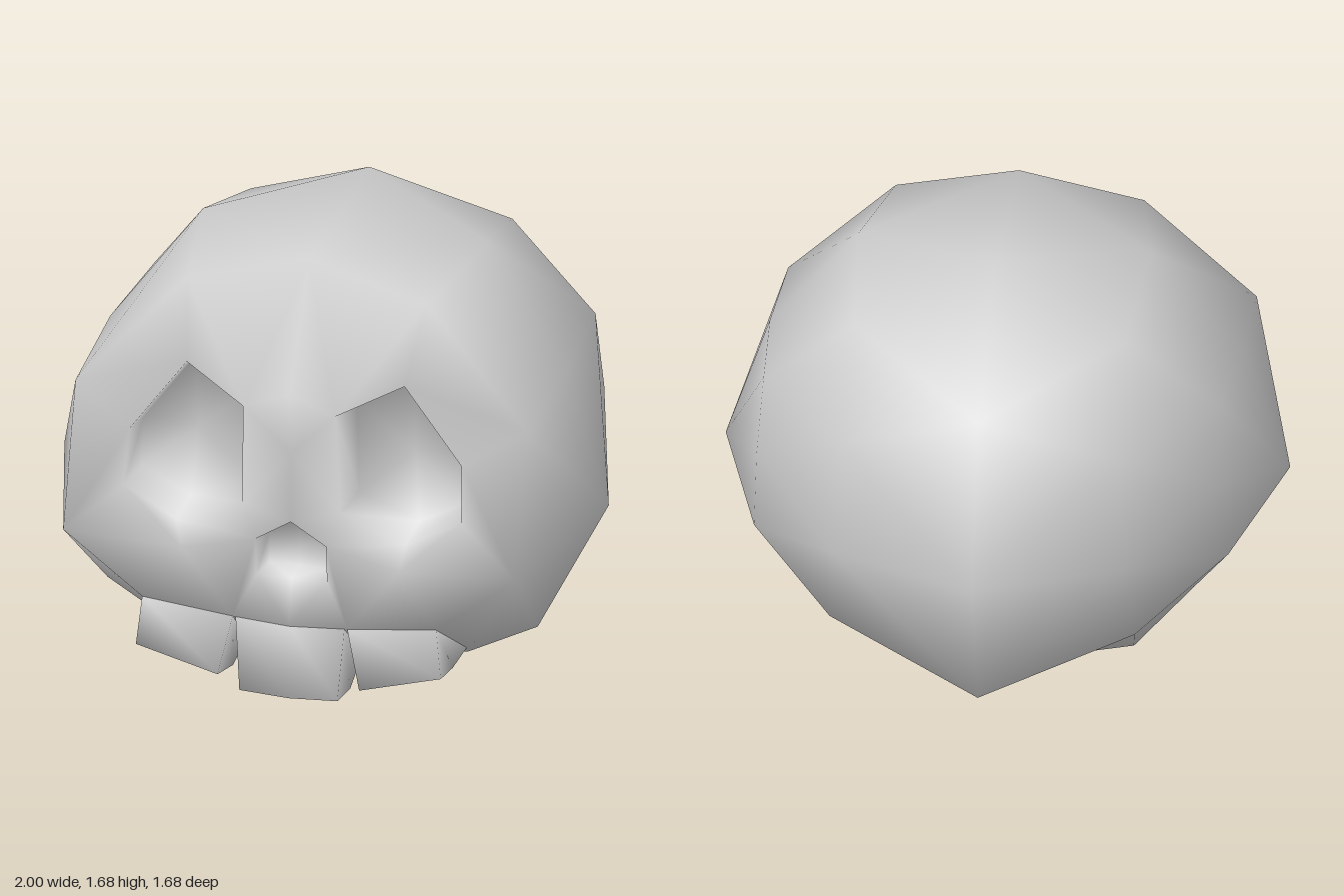
import * as THREE from 'three';
import { mergeVertices } from 'three/addons/utils/BufferGeometryUtils.js';

const vec = (p) => new THREE.Vector3(...p);
const normal = (a, b, c) => vec(b).sub(vec(a)).cross(vec(c).sub(vec(a)));

// Collects triangles between rows of points, optionally mirrored over x = 0
class Surface {
  constructor() { this.data = []; }
  tri(a, b, c, mirror) {
    if (normal(a, b, c).length() < 1e-6) return;
    this.data.push(...a, ...b, ...c);
    if (mirror) for (const p of [a, c, b]) this.data.push(-p[0], p[1], p[2]);
  }
  // With convex set, each quad is split along the diagonal that bulges outward
  strip(a, b, { mirror = true, convex = false } = {}) {
    for (let i = 0; i < a.length - 1; i++) {
      const [p, q, r, s] = [a[i], a[i + 1], b[i + 1], b[i]];
      if (convex && normal(p, q, r).dot(vec(s).sub(vec(p))) > 0) {
        this.tri(p, q, s, mirror);
        this.tri(q, r, s, mirror);
      } else {
        this.tri(p, q, r, mirror);
        this.tri(p, r, s, mirror);
      }
    }
  }
  mesh(name, material) {
    let g = new THREE.BufferGeometry();
    g.setAttribute('position', new THREE.Float32BufferAttribute(this.data, 3));
    g = mergeVertices(g, 1e-3);
    g.computeVertexNormals();
    const m = new THREE.Mesh(g, material);
    m.name = name;
    return m;
  }
}

const repeat = (p, n) => Array.from({ length: n }, () => p);

// Shrinks a rim towards a centre and sets it at a given depth
const recess = (rim, [cx, cy], k, z) => rim.map(([x, y]) => [cx + (x - cx) * k, cy + (y - cy) * k, z]);

// Where the teeth meet the upper jaw
const rootMid = [0, 0.32, 0.83], rootInner = [0.21, 0.33, 0.82], rootOuter = [0.54, 0.37, 0.83];

function buildSkull(material) {
  const s = new Surface();

  // Cranium: arcs from the forehead over the back to the underside
  const mid = [
    [0, 1.62, 0.58], [0, 1.68, -0.15], [0, 1.32, -0.65], [0, 0.74, -0.84],
    [0, 0.19, -0.65], [0, 0.06, -0.2], [0, 0.12, 0.28], [0, 0.1, 0.55],
  ];
  const half = [
    [0.44, 1.51, 0.61], [0.52, 1.58, 0.15], [0.48, 1.48, -0.3], [0.5, 1.14, -0.55],
    [0.52, 0.75, -0.65], [0.54, 0.41, -0.52], [0.5, 0.17, -0.2], [0.56, 0.16, 0.5],
  ];
  const brow = [0.83, 1.1, 0.68], cheek = [0.83, 0.59, 0.83], jaw = [0.79, 0.25, 0.42];
  const side = [
    brow, [0.84, 1.16, 0.22], [0.81, 1.19, -0.22], [0.83, 0.9, -0.26],
    [0.84, 0.6, -0.25], [0.74, 0.45, -0.18], [0.7, 0.32, 0.05], jaw,
  ];
  s.strip(half, mid, { convex: true });
  s.strip(side, half, { convex: true });
  s.strip(repeat([1, 0.67, 0.25], 10), [...side, cheek, brow]);

  // Face around the eye
  const noseTop = [0, 0.71, 0.81], noseSide = [0.13, 0.63, 0.81], noseLow = [0.13, 0.49, 0.8];
  const noseMid = [0, 0.49, 0.8], underEye = [0.4, 0.57, 0.82], glabella = [0, 1.2, 0.83];
  const eye = [
    [0.17, 1.14, 0.83], [0.4, 1.25, 0.75], [0.61, 0.97, 0.75],
    [0.62, 0.77, 0.79], [0.42, 0.67, 0.81], [0.18, 0.76, 0.8],
  ];
  const [e0, e1, e2, e3, e4, e5] = eye;
  s.strip(
    [e0, e0, e1, e2, e3, e4, e5, e5, e0, e0],
    [glabella, mid[0], half[0], brow, cheek, underEye, noseSide, noseTop, [0, 0.97, 0.81], glabella],
  );

  // Eye socket
  const socket = [...eye, e0];
  const floor = recess(socket, [0.4, 0.95], 0.92, 0.63);
  s.strip(floor, socket);
  s.strip(repeat([0.4, 0.95, 0.61], 7), floor);

  // Nose cavity
  const nose = [noseTop, noseSide, noseLow, noseMid];
  const noseFloor = recess(nose, [0, 0.57], 0.85, 0.7);
  s.strip(noseFloor, nose);
  s.strip(repeat([0, 0.57, 0.69], 4), noseFloor);

  // Upper jaw down to the tooth roots, then the underside
  s.strip(
    [rootMid, rootInner, rootInner, rootInner, rootOuter, rootOuter],
    [noseMid, noseLow, noseSide, underEye, underEye, cheek],
  );
  s.strip([mid[7], [0.28, 0.13, 0.525], half[7], jaw], [rootMid, rootInner, rootOuter, cheek]);
  return s.mesh('skull', material);
}

// Tooth: sections along x, each front top, front bottom, back bottom, back top
function buildTooth(name, sections, material) {
  const s = new Surface();
  const single = { mirror: false };
  const loops = sections.map((p) => [...p, p[0]]);
  for (let i = 0; i < loops.length - 1; i++) s.strip(loops[i], loops[i + 1], single);
  const first = sections[0], last = sections[sections.length - 1];
  s.strip([first[1], first[0]], [first[2], first[3]], single);
  s.strip([last[0], last[1]], [last[3], last[2]], single);
  return s.mesh(name, material);
}

const flip = (sections) => sections.map((p) => p.map(([x, y, z]) => [-x, y, z])).reverse();

export function createModel() {
  const group = new THREE.Group();
  const bone = new THREE.MeshStandardMaterial({ color: 0xcccccc });
  bone.name = 'bone grey';

  group.add(buildSkull(bone));

  // Teeth
  const edge = [[0.2, 0.33, 0.82], [0.18, 0.06, 0.84], [0.17, 0.03, 0.65], [0.19, 0.16, 0.5]];
  const centre = [rootMid, [0, 0.05, 0.84], [0, 0, 0.64], [0, 0.14, 0.5]];
  group.add(buildTooth('centreTooth', [...flip([edge]), centre, edge], bone));

  const sideTooth = [
    [rootInner, [0.26, 0.11, 0.84], [0.26, 0.07, 0.65], [0.24, 0.15, 0.5]],
    [rootOuter, [0.56, 0.19, 0.84], [0.55, 0.16, 0.66], [0.57, 0.2, 0.5]],
  ];
  group.add(buildTooth('leftTooth', sideTooth, bone));
  group.add(buildTooth('rightTooth', flip(sideTooth), bone));
  return group;
}
